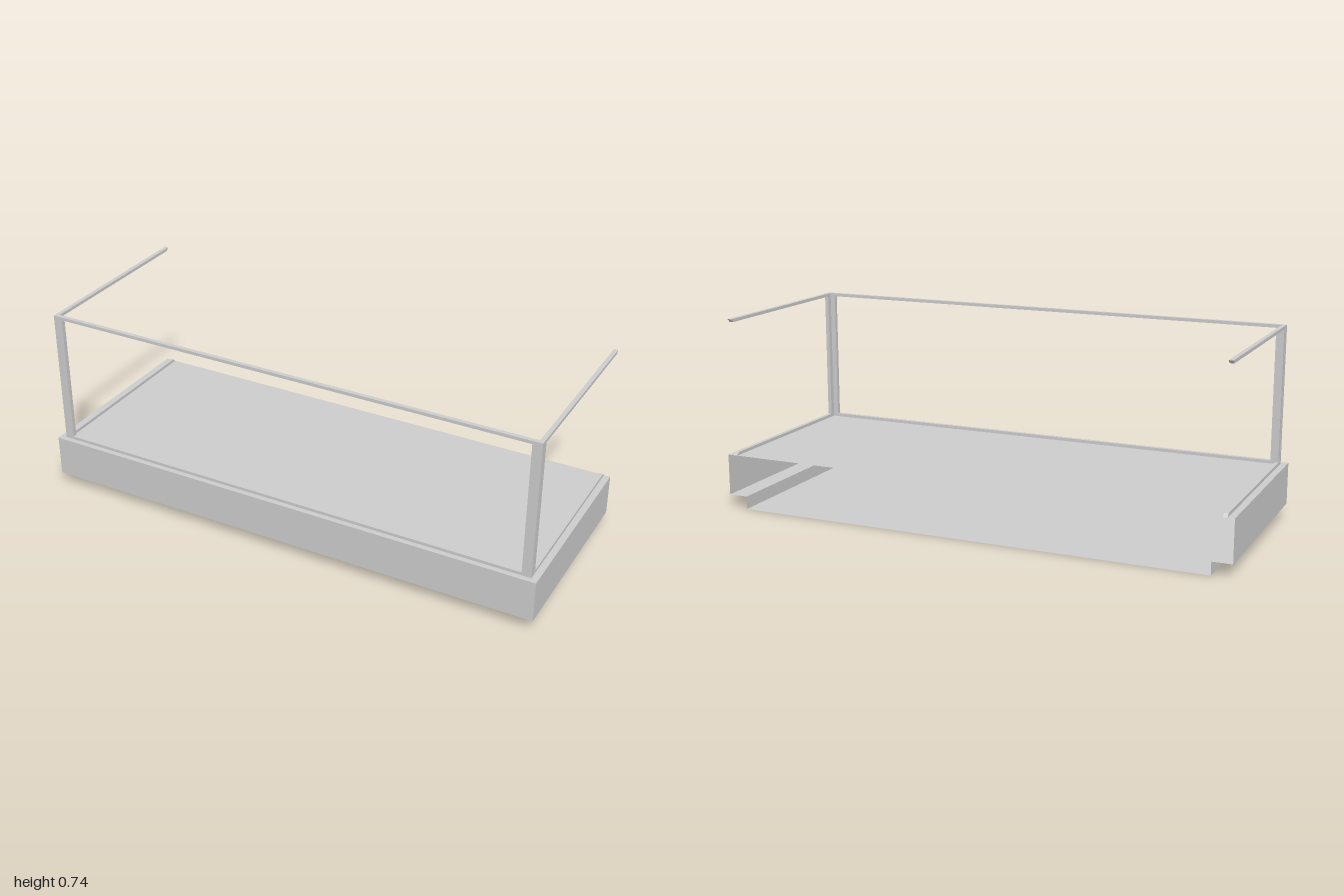
import * as THREE from 'three';

const material = new THREE.MeshStandardMaterial({ color: 0xcccccc, flatShading: true });
const sheet = new THREE.MeshStandardMaterial({ color: 0xcccccc, flatShading: true, side: THREE.DoubleSide });

const BACK = -0.38;      // shared open back plane
const DECK = 0.21;       // height of the deck
const TOP = 0.74;        // top of the frame
const RAIL = 0.012;      // rail height
const OUT_X = 0.975, OUT_Z = 0.36;  // outer corner of the frame
const WIDE = 0.016;      // rail and post leg thickness
const LEG = 0.036;       // post leg length

function add(parent, name, geometry, mat = material) {
  const mesh = new THREE.Mesh(geometry, mat);
  mesh.name = name;
  parent.add(mesh);
  return mesh;
}

// Box given by its limits on each axis
function box(parent, name, [x0, x1], [y0, y1], [z0, z1]) {
  const mesh = add(parent, name, new THREE.BoxGeometry(x1 - x0, y1 - y0, z1 - z0));
  mesh.position.set((x0 + x1) / 2, (y0 + y1) / 2, (z0 + z1) / 2);
}

// Three-sided wall strip, open at the back, between two levels [halfWidth, frontZ, y]
function wall(low, high) {
  const ring = ([x, z, y]) => [-x, y, BACK, -x, y, z, x, y, z, x, y, BACK];
  const geometry = new THREE.BufferGeometry();
  geometry.setAttribute('position', new THREE.Float32BufferAttribute([...ring(low), ...ring(high)], 3));
  const index = [];
  for (let i = 0; i < 3; i++) index.push(i, i + 1, i + 5, i, i + 5, i + 4);
  geometry.setIndex(index);
  const flat = geometry.toNonIndexed();
  flat.computeVertexNormals();
  return flat;
}

// Horizontal panel facing up (dir = 1) or down (dir = -1)
function panel(halfWidth, front, y, dir) {
  return new THREE.PlaneGeometry(halfWidth * 2, front - BACK)
    .rotateX(-dir * Math.PI / 2)
    .translate(0, y, (front + BACK) / 2);
}

// Side rail with its back end cut at an angle; drawn as (z, y) and extruded along x
function sideRail(yOuter, yInner) {
  const shape = new THREE.Shape([
    new THREE.Vector2(-OUT_Z + WIDE, yOuter),
    new THREE.Vector2(-BACK, yOuter),
    new THREE.Vector2(-BACK - RAIL, yInner),
    new THREE.Vector2(-OUT_Z + WIDE, yInner),
  ]);
  return new THREE.ExtrudeGeometry(shape, { depth: WIDE, bevelEnabled: false })
    .translate(0, 0, -WIDE / 2)
    .rotateY(Math.PI / 2);
}

export function createModel() {
  const model = new THREE.Group();
  model.name = 'displayPlatform';

  // Hollow base: recessed plinth, overhang, fascia and deck
  const base = new THREE.Group();
  base.name = 'base';
  model.add(base);
  const foot = [0.925, 0.305, 0], neck = [0.925, 0.305, 0.05];
  const lip = [1, 0.38, 0.05], rim = [1, 0.38, DECK];
  add(base, 'plinthWalls', wall(foot, neck), sheet);
  add(base, 'overhang', wall(neck, lip), sheet);
  add(base, 'fascia', wall(lip, rim), sheet);
  add(base, 'floor', panel(0.925, 0.305, 0, -1), sheet);
  add(base, 'deck', panel(1, 0.38, DECK, 1), sheet);

  // Railing frame
  const frame = new THREE.Group();
  frame.name = 'frame';
  model.add(frame);
  const postSpan = [DECK + RAIL, TOP - RAIL];
  box(frame, 'frontBottomRail', [-OUT_X, OUT_X], [DECK, DECK + RAIL], [OUT_Z - WIDE, OUT_Z]);
  box(frame, 'frontTopRail', [-OUT_X, OUT_X], [TOP - RAIL, TOP], [OUT_Z - WIDE, OUT_Z]);

  for (const side of [-1, 1]) {
    const span = (a, b) => [Math.min(side * a, side * b), Math.max(side * a, side * b)];
    // Angle-section corner post
    box(frame, 'postFrontLeg', span(OUT_X - LEG, OUT_X), postSpan, [OUT_Z - WIDE, OUT_Z]);
    box(frame, 'postSideLeg', span(OUT_X - WIDE, OUT_X - 0.001), postSpan, [OUT_Z - LEG, OUT_Z - WIDE]);
    // Rails running to the back
    const x = side * (OUT_X - WIDE / 2);
    add(frame, 'sideBottomRail', sideRail(DECK, DECK + RAIL)).position.x = x;
    add(frame, 'sideTopRail', sideRail(TOP, TOP - RAIL)).position.x = x;
  }
  return model;
}
